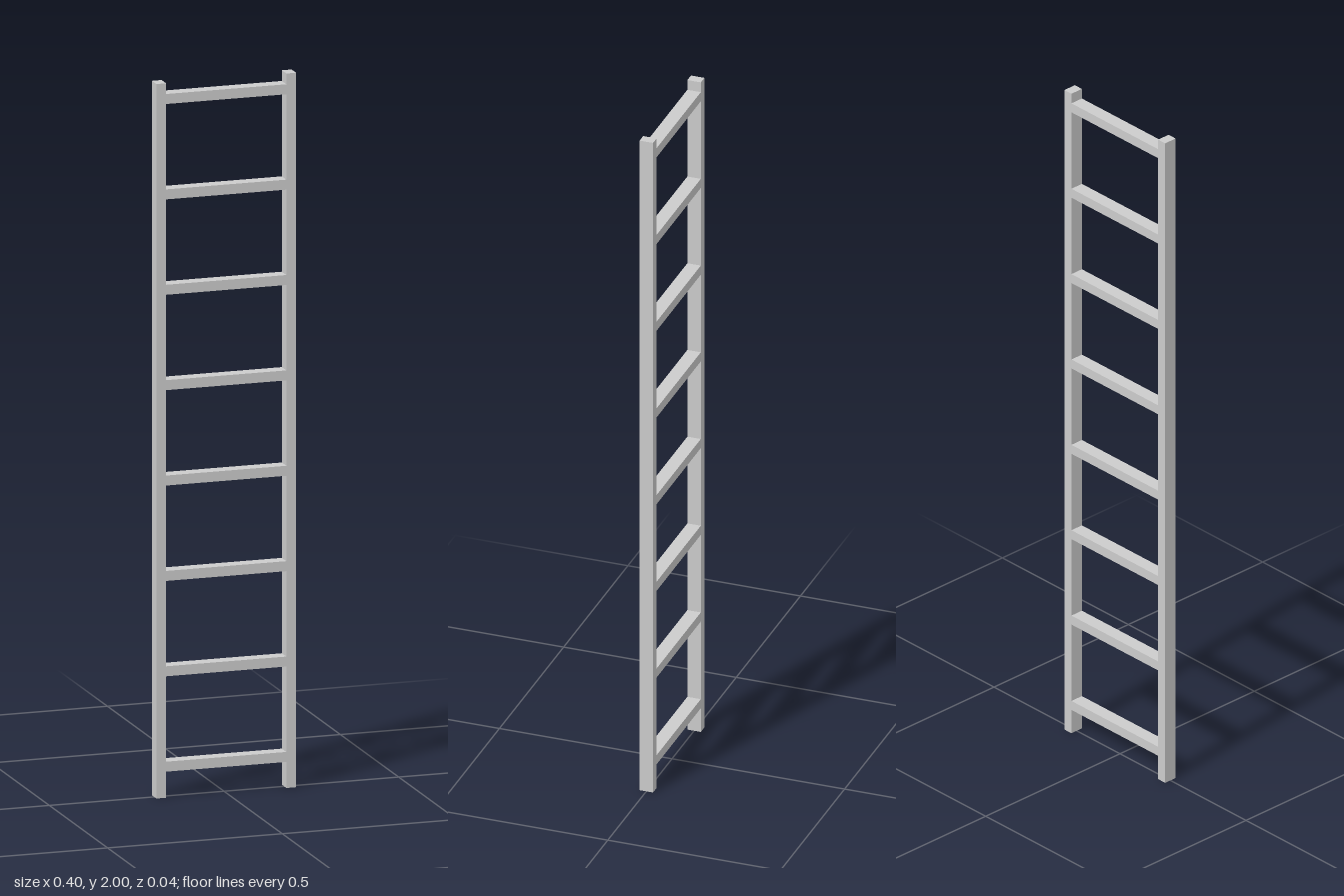
import * as THREE from 'three';

export function createModel() {
  const group = new THREE.Group();
  const material = new THREE.MeshStandardMaterial({ color: 0xcccccc });

  const height = 2, halfWidth = 0.2, depth = 0.039, bar = 0.028;
  const rungCount = 8, lowestRung = 0.087, rungSpacing = 0.267;

  function addBar(name, w, h, x, y) {
    const mesh = new THREE.Mesh(new THREE.BoxGeometry(w, h, depth), material);
    mesh.name = name;
    mesh.position.set(x, y, 0);
    group.add(mesh);
  }

  // Side rails
  const railX = halfWidth - bar / 2;
  addBar('leftRail', bar, height, railX, height / 2);
  addBar('rightRail', bar, height, -railX, height / 2);

  // Evenly spaced rungs, flush with the rails front and back
  const rungLength = 2 * (halfWidth - bar);
  for (let i = 0; i < rungCount; i++) {
    addBar(`rung${i + 1}`, rungLength, bar, 0, lowestRung + i * rungSpacing);
  }

  return group;
}
